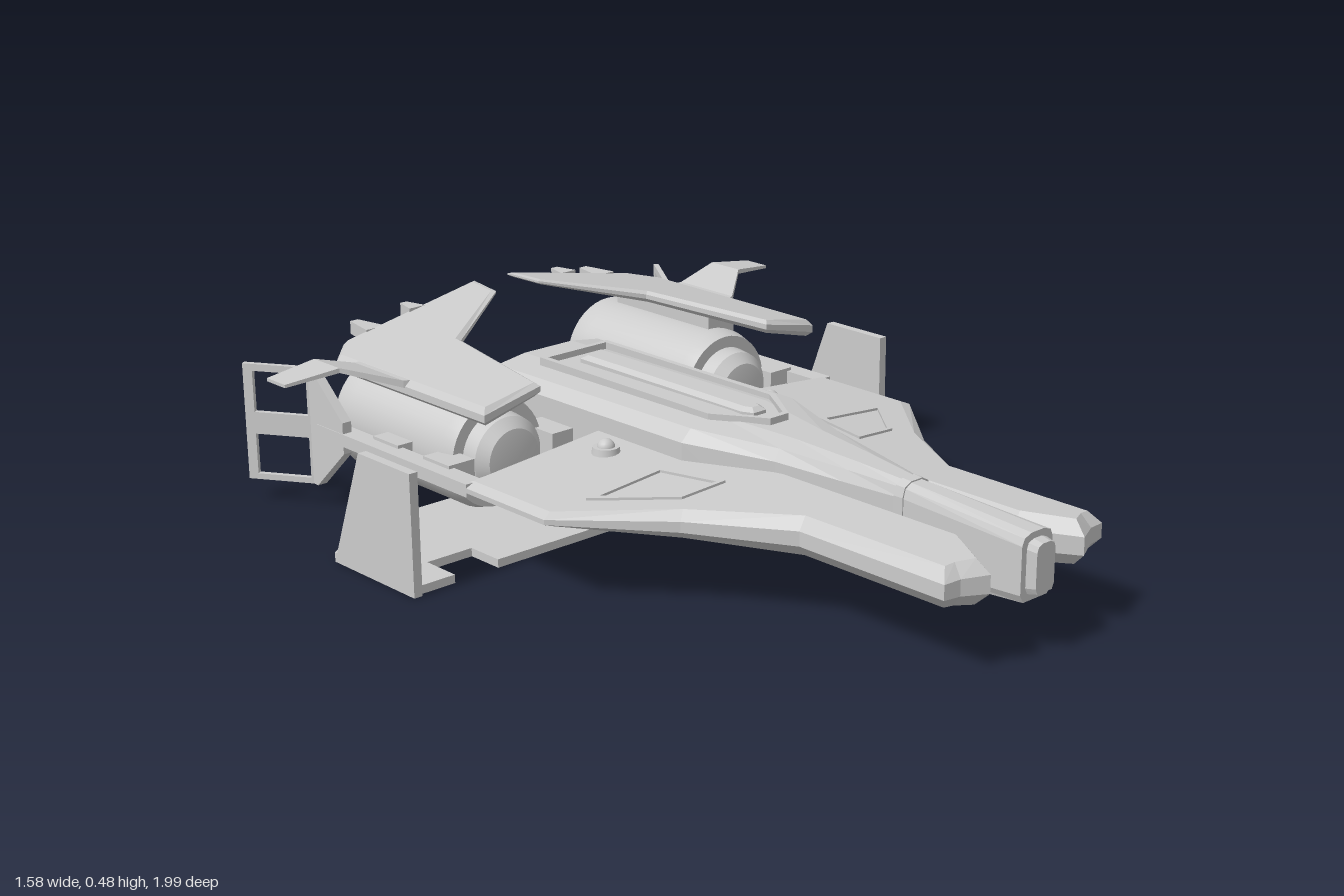
import * as THREE from 'three';
import { toCreasedNormals } from 'three/addons/utils/BufferGeometryUtils.js';

const flat = new THREE.MeshStandardMaterial({ color: 0xcccccc, flatShading: true });
const smooth = new THREE.MeshStandardMaterial({ color: 0xcccccc });

const toShape = (pts) => new THREE.Shape(pts.map(([x, y]) => new THREE.Vector2(x, y)));

// Plan outline of [x, z] points, given lower and upper heights lo(x), hi(x).
function plate(pts, lo, hi, inset = 0, hole = null) {
  const shape = toShape(pts);
  if (hole) shape.holes.push(toShape(hole));
  const bt = inset ? 0.3 : 0;
  const geo = new THREE.ExtrudeGeometry(shape, {
    depth: 1 - 2 * bt, bevelEnabled: inset > 0, bevelThickness: bt,
    bevelSize: inset, bevelOffset: -inset, bevelSegments: 1,
  });
  geo.rotateX(Math.PI / 2);
  const p = geo.attributes.position;
  for (let i = 0; i < p.count; i++) {
    const x = p.getX(i), t = p.getY(i) + 1 - bt;
    p.setY(i, lo(x) + (hi(x) - lo(x)) * t);
  }
  geo.computeVertexNormals();
  return geo;
}

// Side outline of [z, y] points, extruded from x0 to x1.
function sidePlate(pts, x0, x1) {
  const geo = new THREE.ExtrudeGeometry(toShape(pts.map(([z, y]) => [-z, y])), { depth: x1 - x0, bevelEnabled: false });
  return geo.rotateY(Math.PI / 2).translate(x0, 0, 0);
}

// Skin over equal-length rings of [x, y, z], with capped ends.
function loft(rings) {
  const n = rings[0].length, last = rings.length - 1, index = [];
  for (let i = 0; i < last; i++) for (let j = 0; j < n; j++) {
    const a = i * n + j, b = i * n + (j + 1) % n;
    index.push(a, b, b + n, a, b + n, a + n);
  }
  for (let j = 1; j < n - 1; j++) index.push(0, j + 1, j, last * n, last * n + j, last * n + j + 1);
  const geo = new THREE.BufferGeometry();
  geo.setAttribute('position', new THREE.Float32BufferAttribute(rings.flat(2), 3));
  geo.setIndex(index);
  const out = geo.toNonIndexed();
  out.computeVertexNormals();
  return out;
}

function box(x0, x1, y0, y1, z0, z1) {
  return new THREE.BoxGeometry(x1 - x0, y1 - y0, z1 - z0)
    .translate((x0 + x1) / 2, (y0 + y1) / 2, (z0 + z1) / 2);
}

// Copy across x = 0, with corner order restored.
function mirrored(geo) {
  const g = geo.index ? geo.toNonIndexed() : geo.clone();
  for (const name of ['position', 'normal']) {
    const a = g.attributes[name];
    for (let i = 0; i < a.count; i += 3) {
      const v = [0, 2, 1].map((k) => [-a.getX(i + k), a.getY(i + k), a.getZ(i + k)]);
      v.forEach((q, k) => a.setXYZ(i + k, ...q));
    }
  }
  return g;
}

export function createModel() {
  const model = new THREE.Group();
  model.name = 'spacecraft';
  const add = (name, geo, mat = flat) => {
    const mesh = new THREE.Mesh(geo, mat);
    mesh.name = name;
    model.add(mesh);
  };
  const pair = (name, geo, mat = flat) => {
    add(name + 'Left', geo, mat);
    add(name + 'Right', mirrored(geo), mat);
  };

  // Fuselage: stations of z, half width, bottom, top
  const section = ([z, w, b, t]) => {
    const h = t - b;
    const half = [[0.8 * w, b], [w, b + 0.12 * h], [w, t - 0.16 * h], [0.85 * w, t - 0.05 * h], [0.4 * w, t]];
    return [...half, ...half.map(([x, y]) => [-x, y]).reverse()].map(([x, y]) => [x, y, z]);
  };
  add('fuselage', loft([
    [-0.7, 0.11, 0.13, 0.3], [-0.645, 0.195, 0.08, 0.335], [0.07, 0.195, 0.08, 0.342],
    [0.29, 0.11, 0.08, 0.33], [0.47, 0.073, 0.08, 0.318], [0.62, 0.042, 0.1, 0.305], [0.97, 0.05, 0.13, 0.285],
  ].map(section)));
  add('noseCollar', loft([[0.6, 0.047, 0.095, 0.31], [0.625, 0.045, 0.1, 0.308]].map(section)));
  add('noseTip', loft([[0.96, 0.036, 0.145, 0.272], [0.995, 0.03, 0.152, 0.265]].map(section)));

  // Dorsal frame and spine
  const topLo = () => 0.325, topHi = () => 0.352;
  add('dorsalFrame', plate(
    [[-0.11, -0.545], [0.11, -0.545], [0.11, 0.07], [0.03, 0.195], [-0.03, 0.195], [-0.11, 0.07]], topLo, topHi, 0,
    [[-0.095, -0.53], [0.095, -0.53], [0.095, 0.065], [0.025, 0.18], [-0.025, 0.18], [-0.095, 0.065]]));
  add('dorsalSpine', plate([[-0.033, -0.48], [0.033, -0.48], [0.033, 0.1], [0.02, 0.13], [-0.02, 0.13], [-0.033, 0.1]],
    topLo, () => 0.356, 0.014));

  // Wings with forward prongs, thinning toward the tip
  const half = (x) => 0.06 - 0.045 * (x - 0.08) / 0.52;
  const wingTop = (x) => 0.207 + half(x), wingBottom = (x) => 0.207 - half(x);
  pair('wing', plate([
    [0.08, 0.84], [0.155, 0.975], [0.215, 0.945], [0.26, 0.94], [0.26, 0.52], [0.4, 0.29], [0.6, 0.06],
    [0.6, -0.25], [0.1, -0.25], [0.08, 0.3],
  ], wingBottom, wingTop, 0.025));
  pair('wingPanelFrame', plate([[0.26, 0.07], [0.485, 0.07], [0.345, 0.235], [0.22, 0.245]],
    (x) => wingTop(x) - 0.01, (x) => wingTop(x) + 0.006, 0,
    [[0.273, 0.083], [0.456, 0.083], [0.338, 0.224], [0.238, 0.232]]));
  pair('wingTipBar', box(0.55, 0.6, 0.19, 0.222, -0.82, -0.22));

  // Round wing fittings
  pair('fittingRing', new THREE.CylinderGeometry(0.032, 0.036, 0.025, 24).translate(0.27, 0.252, -0.11), smooth);
  pair('fittingDome', new THREE.SphereGeometry(0.022, 20, 10).translate(0.27, 0.262, -0.11), smooth);

  // Engines: hollow nozzle with hub, plain barrel, stepped intake cap
  const profile = [
    [0, -0.8], [0.035, -0.79], [0.055, -0.74], [0.055, -0.7], [0.095, -0.7], [0.12, -0.85], [0.145, -0.85],
    [0.15, -0.835], [0.145, -0.8], [0.145, -0.42], [0.135, -0.385], [0.105, -0.385], [0.1, -0.345], [0.075, -0.32], [0, -0.31],
  ].map(([r, z]) => new THREE.Vector2(r, z));
  const engine = toCreasedNormals(new THREE.LatheGeometry(profile, 40).rotateX(Math.PI / 2), 0.5);
  pair('engine', engine.translate(0.378, 0.205, 0), smooth);
  for (const z of [-0.58, -0.38]) {
    pair('engineInnerMount', box(0.18, 0.26, 0.17, 0.24, z - 0.06, z + 0.06));
    pair('engineOuterMount', box(0.49, 0.565, 0.18, 0.23, z - 0.05, z + 0.05));
  }
  pair('coverPylon', box(0.37, 0.46, 0.3, 0.385, -0.8, -0.44));

  // Sloping covers over the engines
  const coverTop = (x) => 0.477 - 0.19 * (x - 0.06);
  const coverBottom = (x) => 0.465 - 0.26 * (x - 0.06);
  pair('engineCover', plate([
    [0.055, -0.875], [0.47, -0.875], [0.537, -0.81], [0.537, -0.225], [0.37, -0.225], [0.305, -0.61], [0.07, -0.765],
  ], coverBottom, coverTop, 0.012));
  pair('coverWinglet', loft([
    [0.5, -0.73, -0.51, 0.365, 0.388], [0.54, -0.73, -0.53, 0.37, 0.388],
    [0.655, -0.73, -0.625, 0.41, 0.422], [0.79, -0.73, -0.655, 0.395, 0.403],
  ].map(([x, zb, zf, lo, hi]) => [[x, lo, zf], [x, lo, zb], [x, hi, zb], [x, hi, zf]])));
  for (const [x, w, z] of [[0.38, 0.03, -0.955], [0.25, 0.025, -0.92]]) {
    const y = (coverTop(x) + coverBottom(x)) / 2;
    const ring = (zz, s) => [[-s, -0.017], [s, -0.017], [s, 0.017], [-s, 0.017]].map(([a, b]) => [x + a, y + b, zz]);
    pair('coverSpike', loft([ring(z, w * 0.4), ring(-0.86, w)]));
  }

  // Low keel plates with inner hangers and upright fins
  pair('keelPlate', plate([
    [0.132, -0.2], [0.53, -0.2], [0.53, -0.3], [0.66, -0.3], [0.66, -0.195], [0.78, -0.195], [0.78, -0.5], [0.61, -0.605], [0.132, -0.605],
  ], () => 0.003, () => 0.024));
  pair('keelHanger', box(0.132, 0.154, 0, 0.1, -0.605, -0.2));
  pair('keelFin', sidePlate([[-0.19, 0], [-0.19, 0.3], [-0.385, 0.3], [-0.5, 0]], 0.757, 0.78));

  // Flared tail plates and open ladder frames
  pair('tailPlate', sidePlate([[-0.71, 0.17], [-0.71, 0.25], [-0.83, 0.355], [-0.85, 0.355], [-0.85, 0.058], [-0.83, 0.058]], 0.572, 0.598));
  const length = Math.hypot(0.105, 0.16);
  const rect = (a, b, c, d) => [[a, b], [c, b], [c, d], [a, d]];
  const frame = toShape(rect(0, 0.058, length, 0.36));
  frame.holes.push(toShape(rect(0.025, 0.073, length - 0.025, 0.178)), toShape(rect(0.025, 0.235, length - 0.025, 0.342)));
  pair('tailFrame', new THREE.ExtrudeGeometry(frame, { depth: 0.014, bevelEnabled: false })
    .translate(0, 0, -0.007).rotateY(Math.atan2(0.16, 0.105)).translate(0.582, 0, -0.836));

  return model;
}
